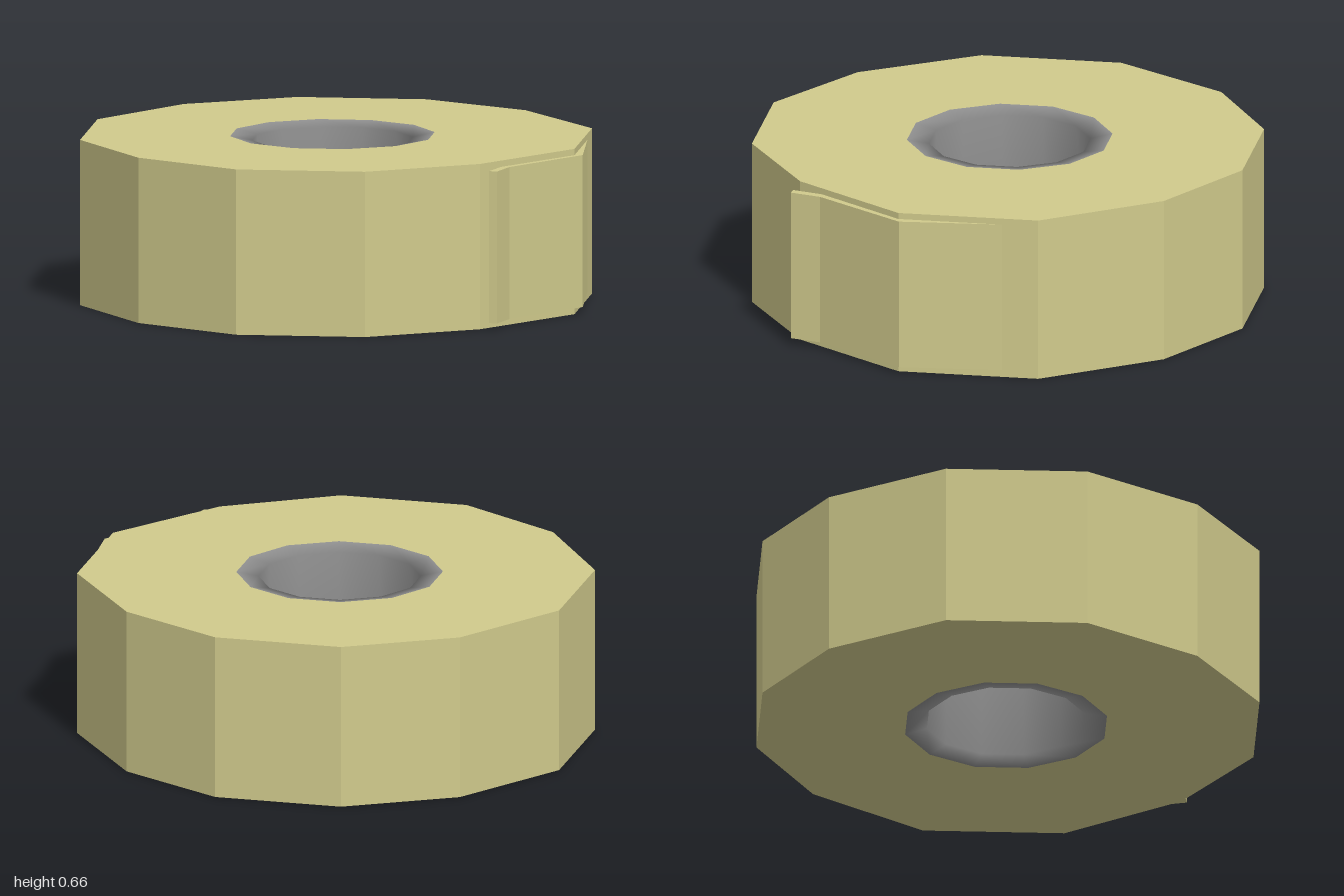
import * as THREE from 'three';

const HEIGHT = 0.66;
const CX = -0.03, CZ = -0.01; // axis of the roll

// Vertical prism from an outline of [x, z] points
function prism(name, outline, y0, height, material, hole) {
  const shape = new THREE.Shape(outline.map(([x, z]) => new THREE.Vector2(x, -z)));
  if (hole) shape.holes.push(new THREE.Path(hole.map(([x, z]) => new THREE.Vector2(x, -z))));
  const geometry = new THREE.ExtrudeGeometry(shape, { depth: height, bevelEnabled: false });
  geometry.rotateX(-Math.PI / 2);
  const mesh = new THREE.Mesh(geometry, material);
  mesh.position.y = y0;
  mesh.name = name;
  return mesh;
}

export function createModel() {
  const group = new THREE.Group();
  group.name = 'tapeRoll';

  const tape = new THREE.MeshStandardMaterial({ color: 0xd0ca8c });
  tape.name = 'paleYellowTape';
  const grey = new THREE.MeshStandardMaterial({ color: 0x8f8f8f });
  grey.name = 'greyCore';

  // Wound tape: twelve-sided body with a twelve-sided hole
  const body = [
    [-0.29, -0.985], [0.223, -0.985], [0.648, -0.742], [0.968, -0.293],
    [0.968, 0.267], [0.648, 0.715], [0.223, 0.98], [-0.29, 0.98],
    [-0.712, 0.715], [-1, 0.267], [-1, -0.293], [-0.712, -0.742],
  ];
  const rimRadius = 0.408;
  const hole = [];
  for (let i = 0; i < 12; i++) {
    const a = ((i + 0.5) * Math.PI) / 6;
    hole.push([CX + rimRadius * Math.sin(a), CZ + rimRadius * Math.cos(a)]);
  }
  group.add(prism('woundTape', body, 0, HEIGHT, tape, hole));

  // Core lining: smooth, with a shallow flared lip at both ends
  const lip = 0.018;
  const profile = [
    [rimRadius, HEIGHT], [0.32, HEIGHT - lip], [0.32, lip], [rimRadius, 0],
  ].map(([r, y]) => new THREE.Vector2(r, y));
  const core = new THREE.Mesh(new THREE.LatheGeometry(profile, 12, Math.PI / 12), grey);
  core.position.set(CX, 0, CZ);
  core.name = 'core';
  group.add(core);

  // Loose end of the tape, lifting off the side
  const strip = [
    [0.964, -0.2], [1, 0.26], [0.752, 0.617], [0.719, 0.74],
    [0.686, 0.735], [0.72, 0.612], [0.787, 0.507], [0.95, 0.25], [0.94, -0.2],
  ];
  group.add(prism('looseTapeEnd', strip, 0.028, 0.607, tape));

  return group;
}
